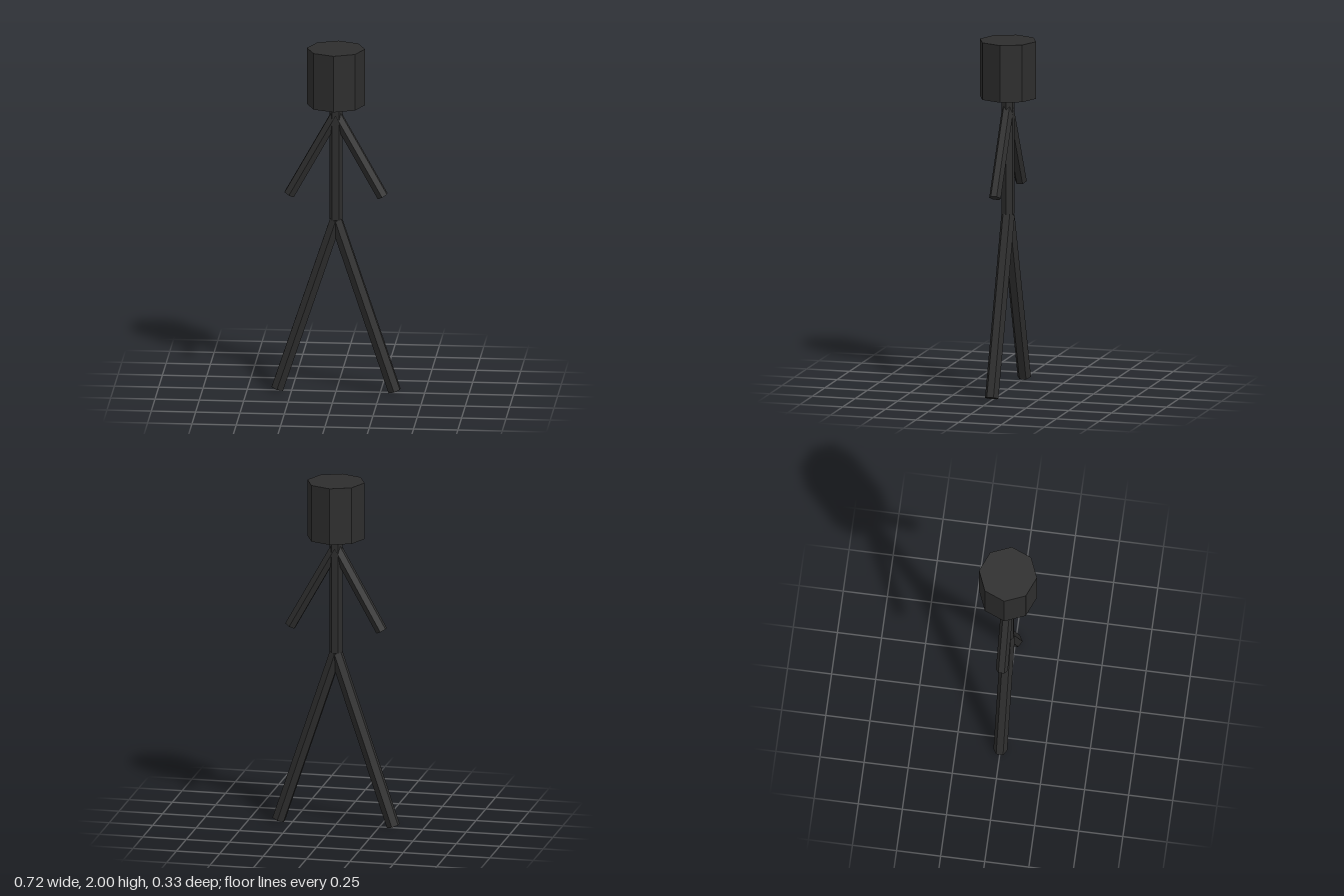
import * as THREE from 'three';

const charcoal = new THREE.MeshStandardMaterial({ color: 0x2d2d2d, flatShading: true });
charcoal.name = 'charcoal';

// Straight prism running from a lower point to an upper point in the xy plane
function limb(name, lower, upper, radius, sides) {
  const a = new THREE.Vector3(lower[0], lower[1], 0);
  const b = new THREE.Vector3(upper[0], upper[1], 0);
  const mesh = new THREE.Mesh(
    new THREE.CylinderGeometry(radius, radius, a.distanceTo(b), sides), charcoal);
  mesh.name = name;
  mesh.position.copy(a).add(b).multiplyScalar(0.5);
  mesh.rotation.z = Math.atan2(a.x - b.x, b.y - a.y);
  return mesh;
}

export function createModel() {
  const figure = new THREE.Group();
  figure.name = 'stickFigure';

  // Octagonal head
  figure.add(limb('head', [0, 1.673], [0, 2], 0.164, 8));

  // Hexagonal torso with its corners facing sideways
  const torso = limb('torso', [0, 1.005], [0, 1.68], 0.038, 6);
  torso.rotation.y = Math.PI / 2;
  figure.add(torso);

  // Mirrored arms and legs
  for (const [side, s] of [['left', 1], ['right', -1]]) {
    figure.add(limb(side + 'Arm', [s * 0.263, 1.145], [0, 1.615], 0.034, 6));
    figure.add(limb(side + 'Leg', [s * 0.33, 0.011], [0, 1.0], 0.039, 6));
  }
  return figure;
}
